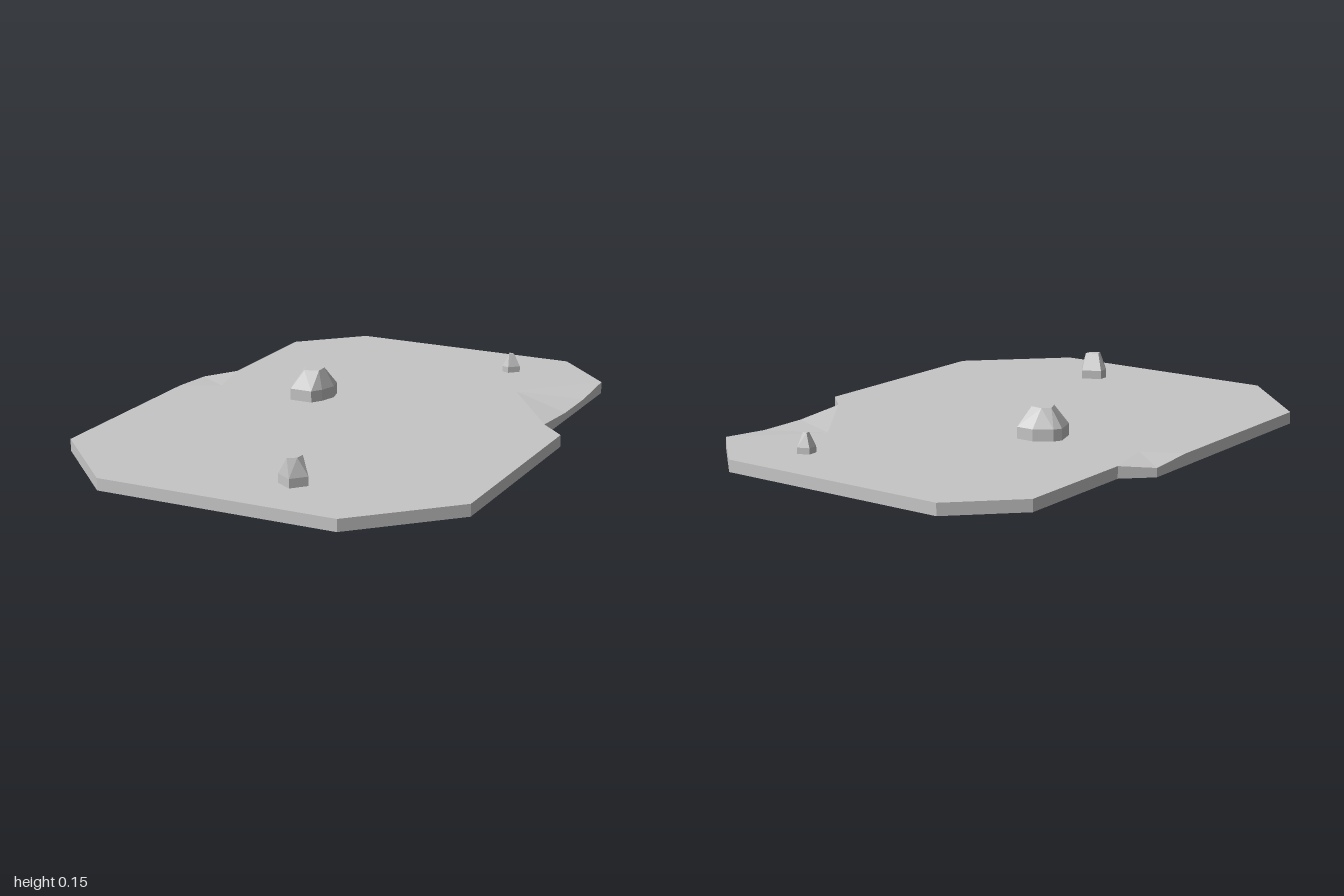
import * as THREE from 'three';
import { ConvexGeometry } from 'three/addons/geometries/ConvexGeometry.js';

const TOP = 0.043;

// Slab outline, clockwise from above: [x, z, height of worn corner]
const rim = [
  [-0.44, -1], [0.435, -1],
  [0.655, -0.785], [0.655, -0.59, 0.028], [0.655, -0.4, 0.028], [0.655, -0.19],
  [0.75, -0.1], [0.75, 0.69], [0.435, 1], [-0.44, 1], [-0.75, 0.69],
  [-0.75, -0.04], [-0.75, -0.22, 0.032], [-0.655, -0.31], [-0.655, -0.79],
];

// Chipped edges: rim indices from start to end slope down from an inner point
const chips = [
  { start: 2, end: 5, apex: [0.41, -0.53] },
  { start: 11, end: 13, apex: [-0.61, -0.11] },
];

// Rocks: widest ring and crown ring as [x, z] points
const rocks = [
  {
    name: 'largeRock', belly: 0.085, height: 0.152,
    ring: [[-0.315, -0.14], [-0.3, -0.17], [-0.24, -0.21], [-0.175, -0.21], [-0.162, -0.16], [-0.18, -0.1], [-0.205, -0.062], [-0.29, -0.062]],
    crown: [[-0.27, -0.14], [-0.245, -0.165], [-0.2, -0.16], [-0.2, -0.115], [-0.25, -0.095]],
  },
  {
    name: 'frontRock', belly: 0.075, height: 0.137,
    ring: [[0.11, 0.74], [0.175, 0.705], [0.215, 0.765], [0.17, 0.815], [0.112, 0.78]],
    crown: [[0.14, 0.765], [0.183, 0.742], [0.18, 0.775], [0.152, 0.795]],
  },
  {
    name: 'backRock', belly: 0.065, height: 0.113,
    ring: [[0.26, -0.795], [0.3, -0.812], [0.325, -0.78], [0.29, -0.747], [0.263, -0.757]],
    crown: [[0.28, -0.785], [0.3, -0.78], [0.285, -0.767]],
  },
];

function flatSurface(points, up) {
  const s = up ? -1 : 1;
  const shape = new THREE.Shape(points.map(([x, z]) => new THREE.Vector2(x, s * z)));
  return new THREE.ShapeGeometry(shape).rotateX(s * Math.PI / 2);
}

function triangles(list) {
  const g = new THREE.BufferGeometry();
  g.setAttribute('position', new THREE.Float32BufferAttribute(list.flat(), 3));
  g.computeVertexNormals();
  return g;
}

export function createModel() {
  const stone = new THREE.MeshStandardMaterial({ color: 0xc6c6c6 });
  stone.name = 'greyStone';
  const model = new THREE.Group();
  model.name = 'stoneSlabWithRocks';
  const slab = new THREE.Group();
  slab.name = 'slab';
  model.add(slab);
  const add = (parent, name, geometry) => {
    const mesh = new THREE.Mesh(geometry, stone);
    mesh.name = name;
    parent.add(mesh);
  };

  const low = ([x, z]) => [x, 0, z];
  const high = ([x, z, y = TOP]) => [x, y, z];

  // Flat top, stepping around the chips through their inner points
  const topOutline = [];
  rim.forEach((p, i) => {
    if (p.length === 2) topOutline.push(p);
    const chip = chips.find(c => c.start === i);
    if (chip) topOutline.push(chip.apex);
  });
  add(slab, 'slabTop', flatSurface(topOutline, true).translate(0, TOP, 0));
  add(slab, 'slabBottom', flatSurface(rim, false));

  // Vertical sides following the worn rim
  const walls = [];
  rim.forEach((a, i) => {
    const b = rim[(i + 1) % rim.length];
    walls.push(low(a), high(a), high(b), low(a), high(b), low(b));
  });
  add(slab, 'slabSides', triangles(walls));

  // Sloping facets of the chipped edges
  const facets = [];
  for (const { start, end, apex } of chips)
    for (let i = start; i < end; i++) facets.push(high(apex), high(rim[i + 1]), high(rim[i]));
  add(slab, 'chippedEdges', triangles(facets));

  // Faceted rocks resting on the slab
  for (const { name, belly, height, ring, crown } of rocks) {
    const points = [
      ...ring.map(([x, z]) => new THREE.Vector3(x, TOP - 0.006, z)),
      ...ring.map(([x, z]) => new THREE.Vector3(x, belly, z)),
      ...crown.map(([x, z]) => new THREE.Vector3(x, height, z)),
    ];
    add(model, name, new ConvexGeometry(points));
  }
  return model;
}
